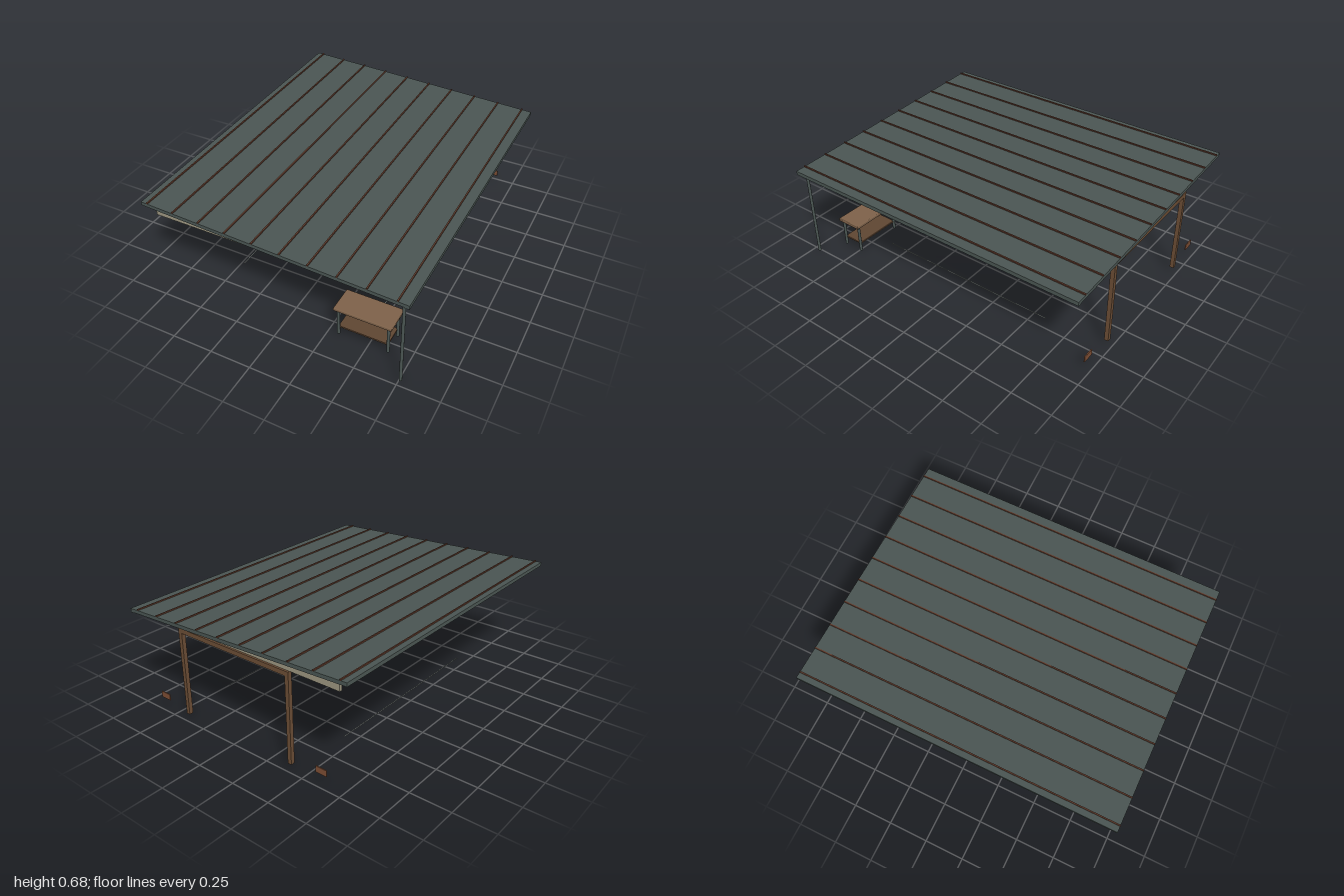
import * as THREE from 'three';
import { RoundedBoxGeometry } from 'three/addons/geometries/RoundedBoxGeometry.js';

const mat = (color) => new THREE.MeshStandardMaterial({ color });

export function createModel() {
  const model = new THREE.Group();
  const steel = mat(0x4a5552), timber = mat(0x6b4d35), rust = mat(0x5e3a2b);
  const board = mat(0x7d6149), shelfWood = mat(0x5f4632), panel = mat(0x9c9680);
  const lampGrey = mat(0x8a8d8a), reflector = mat(0x7d4e34), paint = mat(0x6f7573);

  const add = (name, geometry, material, x, y, z, parent = model) => {
    const mesh = new THREE.Mesh(geometry, material);
    mesh.name = name;
    mesh.position.set(x, y, z);
    parent.add(mesh);
    return mesh;
  };
  const box = (name, material, w, h, d, x, y, z, parent) =>
    add(name, new THREE.BoxGeometry(w, h, d), material, x, y, z, parent);
  const rod = (name, material, r, y0, y1, x, z, parent) =>
    add(name, new THREE.CylinderGeometry(r, r, y1 - y0, 16), material, x, (y0 + y1) / 2, z, parent);
  // Prism from an outline, centred on its depth
  const prism = (points, depth) => {
    const shape = new THREE.Shape(points.map(([x, y]) => new THREE.Vector2(x, y)));
    return new THREE.ExtrudeGeometry(shape, { depth, bevelEnabled: false }).translate(0, 0, -depth / 2);
  };

  // Sloping roof with standing seams
  const roof = new THREE.Group();
  roof.name = 'roof';
  roof.position.y = 0.626;
  roof.rotation.z = -Math.atan(0.07 / 1.6);
  model.add(roof);
  box('roofSheet', steel, 1.6, 0.022, 2, 0, 0, 0, roof);
  for (let i = 0; i < 10; i++) {
    box('roofSeam', rust, 0.008, 0.008, 2, -0.76 + i * 0.1663, 0.0145, 0, roof);
  }
  box('eaveTrim', steel, 0.026, 0.024, 2, 0.787, 0.59, 0);

  // Wedge panels under the roof at both ends
  const wedge = prism([[-0.73, 0.586], [0.68, 0.586], [-0.73, 0.648]], 0.016);
  for (const z of [-0.96, 0.96]) add('gablePanel', wedge, panel, 0, 0, z);

  // Timber portal at the back
  const portal = new THREE.Group();
  portal.name = 'portalFrame';
  model.add(portal);
  for (const x of [-0.398, 0.398]) {
    box('portalPost', timber, 0.025, 0.55, 0.025, x, 0.309, -0.966, portal);
  }
  box('portalBeam', timber, 0.821, 0.028, 0.026, 0, 0.571, -0.966, portal);

  // Drain pipe at the low front corner
  rod('drainPipe', steel, 0.009, 0, 0.563, 0.757, 0.96);

  // Paired pieces: hanging lamps, ground lines, wall markers
  const lampBody = prism([[-0.13, 0.56], [-0.13, 0.553], [-0.117, 0.545],
    [0.117, 0.545], [0.13, 0.553], [0.13, 0.56]], 0.024);
  for (const s of [-1, 1]) {
    const lamp = add('lampBody', lampBody, lampGrey, s * 0.418, 0, 0);
    lamp.rotation.y = Math.PI / 2;
    box('lampCover', steel, 0.034, 0.005, 0.25, s * 0.418, 0.561, 0);
    box('groundLine', paint, 0.008, 0.001, 1.2, s * 0.46, 0.034, 0);
    box('marker', reflector, 0.072, 0.038, 0.006, s * 0.605, 0.075, -0.966);
  }

  // Workbench
  const bench = new THREE.Group();
  bench.name = 'workbench';
  bench.position.set(0.476, 0, 0.774);
  model.add(bench);
  add('benchTop', new RoundedBoxGeometry(0.35, 0.02, 0.166, 2, 0.005), board, 0, 0.222, 0, bench);
  box('benchShelf', shelfWood, 0.3, 0.01, 0.13, 0, 0.086, 0, bench);
  for (const x of [-0.151, 0.151]) {
    for (const z of [-0.064, 0.064]) rod('benchLeg', steel, 0.009, 0.034, 0.213, x, z, bench);
  }
  return model;
}
